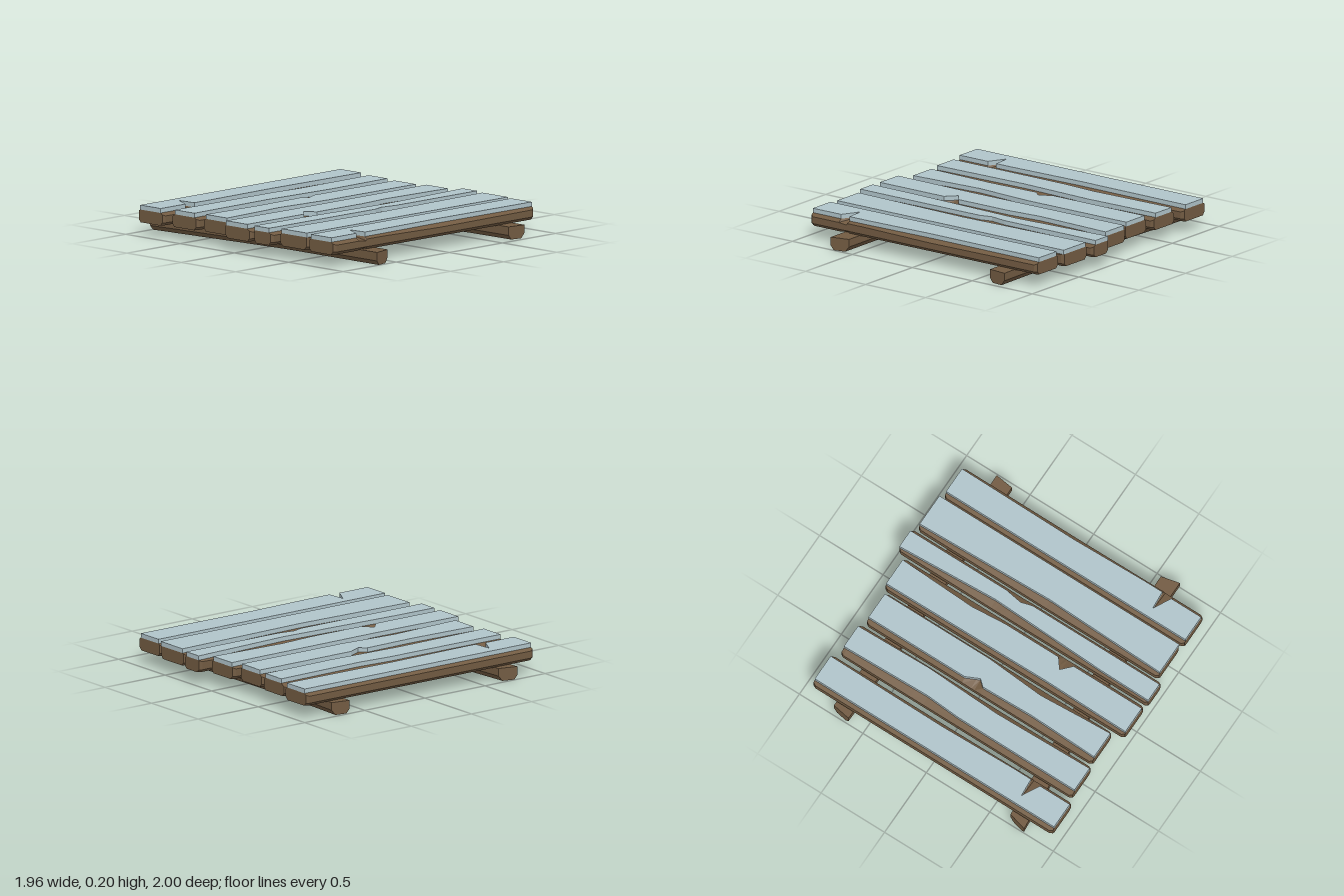
import * as THREE from 'three';

const BOTTOM = 0.085, TOP = 0.17, PAINT_TOP = 0.2;

// Skin a list of equal rings (counter-clockwise seen from the last one) and cap both ends
function loft(rings) {
  const pos = [], n = rings[0].length;
  const tri = (a, b, c) => pos.push(...a, ...b, ...c);
  for (let s = 0; s < rings.length - 1; s++) {
    for (let i = 0; i < n; i++) {
      const j = (i + 1) % n, a = rings[s], b = rings[s + 1];
      tri(a[i], a[j], b[i]);
      tri(a[j], b[j], b[i]);
    }
  }
  const first = rings[0], last = rings[rings.length - 1];
  for (let i = 1; i < n - 1; i++) {
    tri(first[0], first[i + 1], first[i]);
    tri(last[0], last[i], last[i + 1]);
  }
  const g = new THREE.BufferGeometry();
  g.setAttribute('position', new THREE.Float32BufferAttribute(pos, 3));
  g.computeVertexNormals();
  return g;
}

// Height of a polyline of [x, z] points at x
function edgeAt(edge, x) {
  if (x <= edge[0][0]) return edge[0][1];
  for (let i = 1; i < edge.length; i++) {
    const [xa, za] = edge[i - 1], [xb, zb] = edge[i];
    if (x <= xb) return za + (zb - za) * (x - xa) / (xb - xa);
  }
  return edge[edge.length - 1][1];
}

// Wooden plank: worn upper edges follow the paint outline, lower edges are chamfered
function plankBody({ x, z, back, front }) {
  const xs = [x[0], x[0] + 0.02, x[1] - 0.02, x[1], ...back.map(p => p[0]), ...front.map(p => p[0])];
  const stations = [...new Set(xs)].sort((a, b) => a - b);
  return loft(stations.map(px => {
    const end = px === x[0] || px === x[1] ? 0.012 : 0;
    const zb = z[0] + end, zf = z[1] - end;
    const tb = Math.max(edgeAt(back, px), zb), tf = Math.min(edgeAt(front, px), zf);
    const drop = inset => Math.min(0.025, inset * 0.7);
    const chip = inset => 0.018 + Math.max(0, inset - 0.06) * 0.3;
    return [
      [px, BOTTOM, zf - chip(tf < zf ? zf - tf : 0)],
      [px, BOTTOM, zb + chip(tb - zb)],
      [px, BOTTOM + 0.02, zb],
      [px, TOP - drop(tb - zb), zb],
      [px, TOP, tb],
      [px, TOP, tf],
      [px, TOP - drop(zf - tf), zf],
      [px, BOTTOM + 0.02, zf],
    ];
  }));
}

// Paint layer: the outline between the two worn edges, raised as a slab
function paintSlab({ back, front }) {
  const outline = [...front, ...[...back].reverse()];
  const shape = new THREE.Shape(outline.map(([px, pz]) => new THREE.Vector2(px, -pz)));
  const g = new THREE.ExtrudeGeometry(shape, { depth: PAINT_TOP - TOP, bevelEnabled: false });
  return g.rotateX(-Math.PI / 2).translate(0, TOP, 0);
}

// The outermost planks share one shape
const outerPlank = dz => ({
  x: [-0.95, 0.935], z: [-0.94 + dz, -0.7 + dz],
  back: [[-0.95, -0.915], [0.935, -0.915]].map(([a, b]) => [a, b + dz]),
  front: [[-0.95, -0.727], [-0.715, -0.727], [-0.65, -0.85], [-0.64, -0.72], [-0.5, -0.72],
    [0.05, -0.733], [0.935, -0.725]].map(([a, b]) => [a, b + dz]),
});

const PLANKS = [
  outerPlank(0),
  { x: [-0.92, 0.9], z: [-0.66, -0.42],
    back: [[-0.92, -0.625], [0, -0.622], [0.25, -0.605], [0.9, -0.62]],
    front: [[-0.92, -0.445], [-0.2, -0.46], [0.35, -0.438], [0.9, -0.45]] },
  { x: [-0.9, 0.877], z: [-0.39, -0.145],
    back: [[-0.9, -0.36], [-0.4, -0.345], [-0.02, -0.355], [0.025, -0.315], [0.12, -0.36], [0.877, -0.36]],
    front: [[-0.9, -0.165], [-0.7, -0.175], [-0.37, -0.195], [0.05, -0.165], [0.877, -0.165]] },
  { x: [-0.975, 0.91], z: [-0.118, 0.125],
    back: [[-0.975, -0.1], [-0.35, -0.09], [0.91, -0.1]],
    front: [[-0.975, 0.095], [-0.44, 0.095], [-0.375, 0.025], [-0.32, 0.095], [0.1, 0.095],
      [0.35, 0.075], [0.91, 0.098]] },
  { x: [-0.98, 0.98], z: [0.152, 0.325],
    back: [[-0.98, 0.165], [-0.6, 0.17], [0.25, 0.203], [0.98, 0.165]],
    front: [[-0.98, 0.3], [0.02, 0.3], [0.1, 0.277], [0.22, 0.297], [0.98, 0.297]] },
  { x: [-0.935, 0.955], z: [0.35, 0.61],
    back: [[-0.935, 0.372], [-0.05, 0.398], [0.955, 0.37]],
    front: [[-0.935, 0.605], [0.955, 0.605]] },
  outerPlank(1.57),
];

// Crossbeams: [left z, right z, left x, right x] along the beam, back to front
const BEAMS = [
  [[-1, -0.965, -0.77, -0.64], [-0.13, -0.13, -0.7, -0.58], [0.14, 0.14, -0.68, -0.555], [1, 0.97, -0.68, -0.55]],
  [[-0.99, -0.967, 0.62, 0.75], [-0.4, -0.4, 0.605, 0.725], [0.33, 0.33, 0.6, 0.73], [0.95, 0.967, 0.61, 0.742]],
];

function beam(sections) {
  return loft(sections.map(([zl, zr, xl, xr]) => {
    const at = (px, py) => [px, py, zl + (zr - zl) * (px - xl) / (xr - xl)];
    return [at(xl + 0.022, 0), at(xr - 0.027, 0), at(xr, 0.035), at(xr, BOTTOM + 0.002),
      at(xl, BOTTOM + 0.002), at(xl, 0.03)];
  }));
}

export function createModel() {
  const wood = new THREE.MeshStandardMaterial({ color: 0x725b42, flatShading: true });
  wood.name = 'brown wood';
  const paint = new THREE.MeshStandardMaterial({ color: 0xb0c4ca, flatShading: true });
  paint.name = 'pale blue paint';

  const model = new THREE.Group();
  model.name = 'plankPlatform';
  const add = (name, geometry, material) => {
    const mesh = new THREE.Mesh(geometry, material);
    mesh.name = name;
    model.add(mesh);
  };
  BEAMS.forEach((b, i) => add(i ? 'leftCrossbeam' : 'rightCrossbeam', beam(b), wood));
  PLANKS.forEach((p, i) => {
    add(`plank${i + 1}`, plankBody(p), wood);
    add(`plankPaint${i + 1}`, paintSlab(p), paint);
  });
  return model;
}
